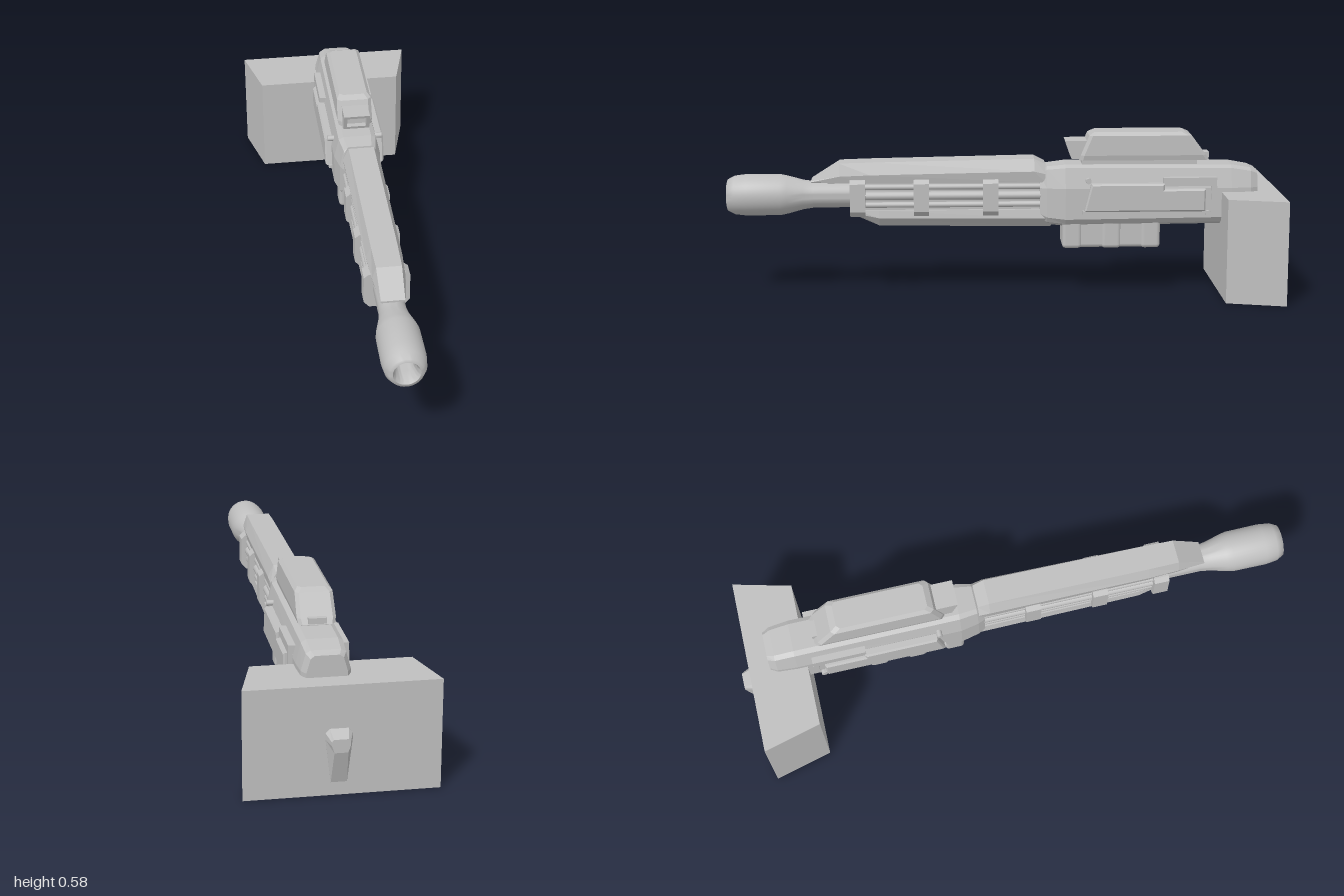
import * as THREE from 'three';
import { toCreasedNormals } from 'three/addons/utils/BufferGeometryUtils.js';
import { RoundedBoxGeometry } from 'three/addons/geometries/RoundedBoxGeometry.js';

const grey = new THREE.MeshStandardMaterial({ color: 0xbfbfbf });
grey.name = 'plain grey';

function add(parent, name, geometry, x = 0, y = 0, z = 0) {
  const mesh = new THREE.Mesh(geometry, grey);
  mesh.name = name;
  mesh.position.set(x, y, z);
  parent.add(mesh);
  return mesh;
}

// Faceted solid through equal-length rings of [x, y, z], ordered front to back,
// each ring counter-clockwise as seen from the front.
function loft(rings) {
  const pos = [];
  const tri = (...p) => p.forEach((v) => pos.push(...v));
  const n = rings[0].length;
  for (let s = 0; s < rings.length - 1; s++) {
    const p = rings[s], q = rings[s + 1];
    for (let i = 0; i < n; i++) {
      const j = (i + 1) % n;
      tri(q[i], q[j], p[j]);
      tri(q[i], p[j], p[i]);
    }
  }
  const front = rings[0], back = rings[rings.length - 1];
  for (let i = 1; i < n - 1; i++) {
    tri(front[0], front[i], front[i + 1]);
    tri(back[0], back[i + 1], back[i]);
  }
  const g = new THREE.BufferGeometry();
  g.setAttribute('position', new THREE.Float32BufferAttribute(pos, 3));
  g.computeVertexNormals();
  return g;
}

// Mirrored ring: right half listed from bottom to top as [halfWidth, y]
function ring(z, half) {
  const right = half.map(([x, y]) => [x, y, z]);
  const left = half.map(([x, y]) => [-x, y, z]).reverse();
  return [...right, ...left];
}

// Slab with a [z, y] outline, extruded along x between x0 and x1
function sideSlab(points, x0, x1, bevel = 0) {
  const shape = new THREE.Shape(points.map(([z, y]) => new THREE.Vector2(-z, y)));
  const g = new THREE.ExtrudeGeometry(shape, {
    depth: x1 - x0 - 2 * bevel, bevelEnabled: bevel > 0, bevelSize: bevel,
    bevelThickness: bevel, bevelOffset: -bevel, bevelSegments: 1,
  });
  g.rotateY(Math.PI / 2);
  g.translate(x0 + bevel, 0, 0);
  return g;
}

function rod(radius, length, axis, sides = 16) {
  const g = new THREE.CylinderGeometry(radius, radius, length, sides);
  return axis === 'x' ? g.rotateZ(Math.PI / 2) : g.rotateX(Math.PI / 2);
}

function buildStand() {
  const stand = new THREE.Group();
  stand.name = 'stand';
  add(stand, 'standBlock', loft([
    ring(-0.755, [[0.265, 0], [0.265, 0.37]]),
    ring(-0.96, [[0.318, 0], [0.318, 0.37]]),
  ]));
  // Tapered hook on the rear face
  add(stand, 'rearHook', loft([
    ring(-0.95, [[0.026, 0.04], [0.043, 0.19], [0.043, 0.212], [0.03, 0.228]]),
    ring(-0.962, [[0.026, 0.045], [0.043, 0.19], [0.043, 0.212], [0.03, 0.226]]),
    ring(-1, [[0.022, 0.16], [0.03, 0.185], [0.03, 0.197], [0.024, 0.205]]),
  ]), 0.012);
  return stand;
}

function buildBarrel(gun) {
  const profile = [
    [0.047, -0.15], [0.047, 0.69], [0.053, 0.73], [0.068, 0.785], [0.073, 0.81],
    [0.074, 0.93], [0.069, 0.972], [0.056, 0.997], [0.045, 1], [0.037, 0.985],
    [0.032, 0.95], [0.032, 0.86], [0, 0.86],
  ].map(([r, z]) => new THREE.Vector2(r, z));
  const g = new THREE.LatheGeometry(profile, 40).rotateX(Math.PI / 2);
  add(gun, 'barrel', toCreasedNormals(g, 0.9), 0, 0.357, 0);

  // Upper and lower shroud
  add(gun, 'upperShroud', loft([
    ring(0.7, [[0.038, 0.405], [0.042, 0.408], [0.04, 0.412]]),
    ring(0.6, [[0.05, 0.405], [0.056, 0.43], [0.043, 0.475]]),
    ring(0.49, [[0.056, 0.405], [0.062, 0.435], [0.045, 0.478]]),
    ring(-0.09, [[0.06, 0.405], [0.066, 0.445], [0.046, 0.488]]),
    ring(-0.13, [[0.06, 0.405], [0.062, 0.435], [0.042, 0.468]]),
  ]));
  add(gun, 'lowerShroud', loft([
    ring(0.54, [[0.036, 0.285], [0.05, 0.295], [0.05, 0.307]]),
    ring(0.46, [[0.04, 0.25], [0.062, 0.28], [0.058, 0.307]]),
    ring(-0.15, [[0.04, 0.242], [0.066, 0.275], [0.06, 0.307]]),
  ]));
  add(gun, 'barrelCore', new THREE.BoxGeometry(0.088, 0.12, 0.64), 0, 0.357, 0.19);

  // Side rods and the clamps that hold them
  for (const side of [-1, 1]) {
    for (const [y, r] of [[0.326, 0.01], [0.358, 0.014], [0.39, 0.01]]) {
      add(gun, 'sideRod', rod(r, 0.64, 'z'), side * 0.05, y, 0.19);
    }
  }
  const clamp = [[0.06, 0.285], [0.078, 0.305], [0.078, 0.405], [0.062, 0.418]];
  for (const z of [0.535, 0.31, 0.065]) {
    add(gun, 'clamp', loft([ring(z + 0.027, clamp), ring(z - 0.027, clamp)]));
  }
}

function buildReceiver(gun) {
  const section = (z, w, bottom, top) => ring(z, [
    [w * 0.5, bottom], [w * 0.85, bottom + 0.012], [w, bottom + 0.03],
    [w, 0.385], [w * 0.8, top - 0.01], [w * 0.6, top],
  ]);
  add(gun, 'receiver', loft([
    section(-0.11, 0.062, 0.262, 0.44),
    section(-0.135, 0.072, 0.25, 0.46),
    section(-0.2, 0.085, 0.244, 0.467),
    section(-0.79, 0.085, 0.25, 0.464),
    section(-0.86, 0.08, 0.25, 0.452),
    section(-0.885, 0.066, 0.26, 0.442),
  ]));

  // Side panels, rear boxes, rails and bolts
  for (const side of [-1, 1]) {
    const x0 = side > 0 ? 0.075 : -0.109, x1 = x0 + 0.034;
    add(gun, 'sidePanel', sideSlab(
      [[-0.265, 0.305], [-0.695, 0.305], [-0.695, 0.385], [-0.55, 0.385], [-0.55, 0.405], [-0.29, 0.405]],
      x0, x1, 0.006));
    add(gun, 'bottomRail', new THREE.BoxGeometry(0.03, 0.012, 0.44), side * 0.083, 0.301, -0.48);
    add(gun, 'rearBox', new THREE.BoxGeometry(0.03, 0.03, 0.19), side * 0.084, 0.41, -0.64);
    add(gun, 'rearBoxFoot', new THREE.BoxGeometry(0.03, 0.05, 0.02), side * 0.084, 0.37, -0.726);
    add(gun, 'rearBoxVent', new THREE.BoxGeometry(0.02, 0.01, 0.05), side * 0.082, 0.372, -0.7);
    for (const [y, z] of [[0.414, -0.28], [0.296, -0.705]]) {
      add(gun, 'bolt', rod(0.01, 0.035, 'x', 12), side * 0.083, y, z);
    }
  }

  // Magazine with raised ribs
  add(gun, 'magazine', new RoundedBoxGeometry(0.124, 0.11, 0.34, 2, 0.014), 0, 0.222, -0.365);
  for (const z of [-0.225, -0.365, -0.505]) {
    add(gun, 'magazineRib', new RoundedBoxGeometry(0.136, 0.11, 0.07, 2, 0.014), 0, 0.22, z);
  }
}

function buildScope(gun) {
  add(gun, 'scopeMount', new THREE.BoxGeometry(0.09, 0.04, 0.41), 0, 0.47, -0.465);

  // Wedge-ended housing, stacked as rings along y then turned upright
  const plan = (y, w, zf, zb, c) => [
    [-w + c, zb], [w - c, zb], [w, zb + c], [w, zf - c],
    [w - c, zf], [-w + c, zf], [-w, zf - c], [-w, zb + c],
  ].map(([x, z]) => [x, -z, y]);
  const housing = loft([
    plan(0.582, 0.05, -0.305, -0.625, 0.012),
    plan(0.57, 0.062, -0.285, -0.648, 0.012),
    plan(0.5, 0.064, -0.255, -0.7, 0.012),
    plan(0.482, 0.06, -0.25, -0.712, 0.012),
  ].map((r) => r.slice().reverse()));
  housing.rotateX(-Math.PI / 2);
  // Undo the mirrored plan direction so that faces look outward
  const p = housing.attributes.position;
  const probe = new THREE.Vector3();
  const a = new THREE.Vector3(), b = new THREE.Vector3(), c = new THREE.Vector3();
  let volume = 0;
  for (let i = 0; i < p.count; i += 3) {
    a.fromBufferAttribute(p, i);
    b.fromBufferAttribute(p, i + 1);
    c.fromBufferAttribute(p, i + 2);
    volume += a.dot(probe.crossVectors(b, c));
  }
  if (volume < 0) {
    for (let i = 0; i < p.count; i += 3) {
      b.fromBufferAttribute(p, i + 1);
      c.fromBufferAttribute(p, i + 2);
      p.setXYZ(i + 1, c.x, c.y, c.z);
      p.setXYZ(i + 2, b.x, b.y, b.z);
    }
  }
  housing.computeVertexNormals();
  add(gun, 'scopeHousing', housing);
  add(gun, 'scopeRearLatch', new THREE.BoxGeometry(0.06, 0.02, 0.03), 0, 0.495, -0.7);

  // Slanted open hood at the front
  const rect = (path, w, y0, y1) => path.moveTo(-w, y0).lineTo(w, y0).lineTo(w, y1).lineTo(-w, y1).closePath();
  const frame = rect(new THREE.Shape(), 0.047, 0.487, 0.551);
  frame.holes.push(rect(new THREE.Path(), 0.035, 0.498, 0.54));
  const hood = new THREE.ExtrudeGeometry(frame, { depth: 0.11, bevelEnabled: false });
  hood.translate(0, 0, -0.31);
  const h = hood.attributes.position;
  for (let i = 0; i < h.count; i++) h.setZ(i, h.getZ(i) - (0.551 - h.getY(i)) * 0.35);
  hood.computeVertexNormals();
  add(gun, 'scopeHood', hood);
  add(gun, 'scopeLens', new THREE.BoxGeometry(0.074, 0.046, 0.03), 0, 0.519, -0.255);
}

export function createModel() {
  const model = new THREE.Group();
  model.name = 'mountedRifle';
  model.add(buildStand());
  const gun = new THREE.Group();
  gun.name = 'rifle';
  gun.position.x = 0.037;
  buildBarrel(gun);
  buildReceiver(gun);
  buildScope(gun);
  model.add(gun);
  return model;
}
